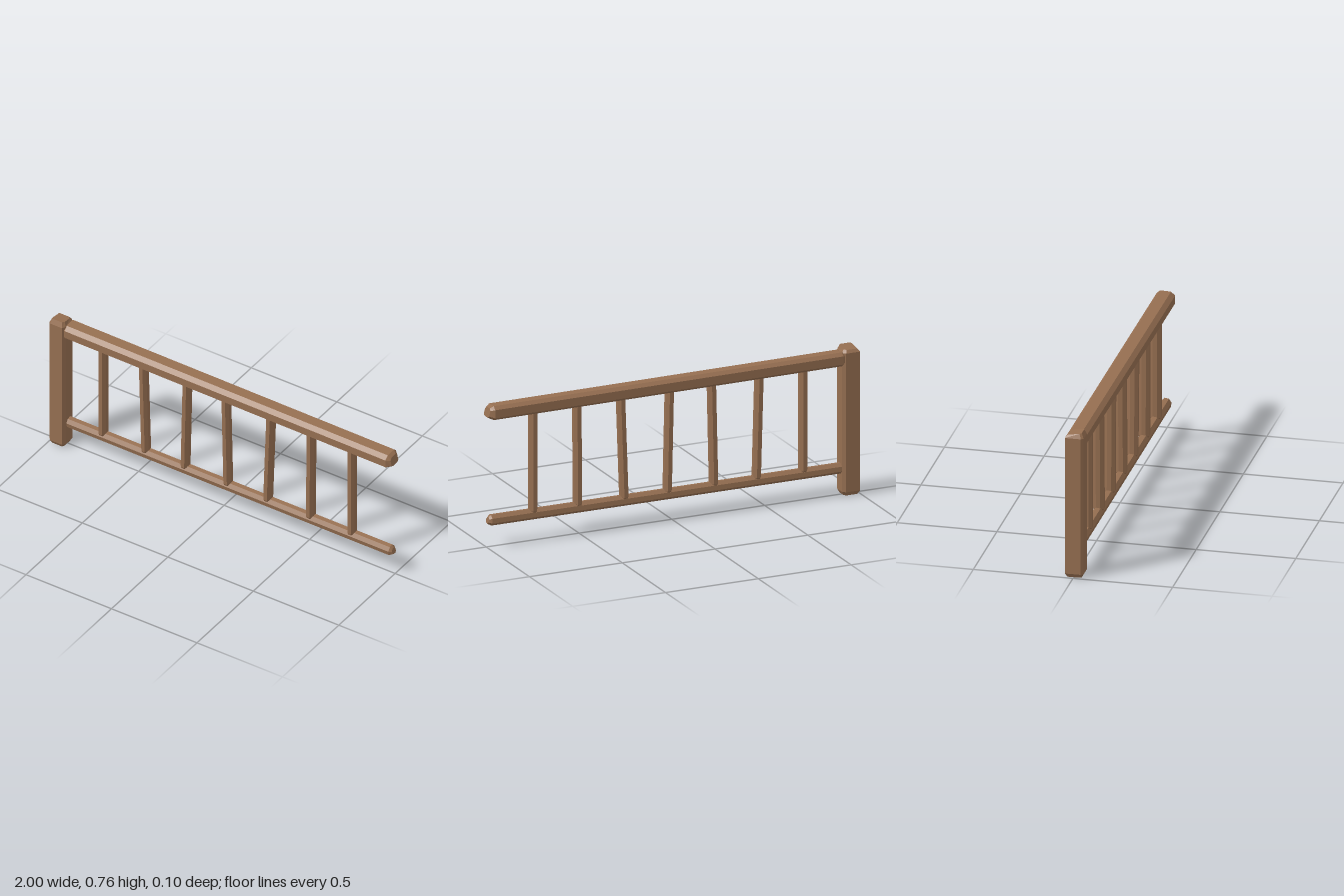
import * as THREE from 'three';

const wood = new THREE.MeshStandardMaterial({ color: 0x966f51, flatShading: true });

// Hewn beam: a section [u, v] swept from start to end, with bevelled, slightly skewed ends.
// Horizontal beams use u = y, v = z; vertical beams use u = z, v = x.
function beam(name, section, start, end, { vertical = false, bevel = 0.02, inset = 0.75, skew = 0 } = {}) {
  const a = new THREE.Vector3(...start), b = new THREE.Vector3(...end);
  const dir = b.clone().sub(a).normalize();
  const u = vertical ? new THREE.Vector3(0, 0, 1) : new THREE.Vector3(0, 1, 0);
  const v = vertical ? new THREE.Vector3(1, 0, 0) : new THREE.Vector3(0, 0, 1);
  const rings = [
    [a, inset, 0], [a.clone().addScaledVector(dir, bevel), 1, 0],
    [b.clone().addScaledVector(dir, -bevel), 1, 0], [b, inset, skew],
  ];
  const n = section.length, pos = [], idx = [];
  for (const [c, s, k] of rings) {
    for (const [p, q] of section) {
      const w = c.clone().addScaledVector(u, p * s).addScaledVector(v, q * s).addScaledVector(dir, p * k);
      pos.push(w.x, w.y, w.z);
    }
  }
  for (let r = 0; r < 3; r++) {
    for (let i = 0; i < n; i++) {
      const j = (i + 1) % n, p = r * n, q = p + n;
      idx.push(p + i, p + j, q + j, p + i, q + j, q + i);
    }
  }
  for (let i = 1; i < n - 1; i++) {
    idx.push(0, i + 1, i, 3 * n, 3 * n + i, 3 * n + i + 1);
  }
  const indexed = new THREE.BufferGeometry();
  indexed.setAttribute('position', new THREE.Float32BufferAttribute(pos, 3));
  indexed.setIndex(idx);
  const geo = indexed.toNonIndexed();
  geo.computeVertexNormals();
  const mesh = new THREE.Mesh(geo, wood);
  mesh.name = name;
  return mesh;
}

export function createModel() {
  const group = new THREE.Group();
  group.name = 'fenceRailing';

  // End post with chamfered corners
  const postSection = [[0.046, -0.035], [0.046, 0.035], [0.028, 0.045], [-0.031, 0.045],
    [-0.046, 0.03], [-0.046, -0.045], [0.034, -0.045]];
  group.add(beam('post', postSection, [-0.95, 0.005, 0.004], [-0.95, 0.76, 0.004],
    { vertical: true, bevel: 0.02, inset: 0.76, skew: 0.12 }));

  // Thick handrail, sloping slightly down to its free end
  const handrailSection = [[0.036, -0.03], [0.034, 0.025], [0.015, 0.046], [-0.026, 0.046],
    [-0.036, 0.03], [-0.036, -0.03], [-0.022, -0.047], [0.02, -0.047]];
  group.add(beam('handrail', handrailSection, [-0.925, 0.71, 0], [0.995, 0.7, 0],
    { bevel: 0.022, inset: 0.65, skew: -0.15 }));

  // Thin lower rail
  const lowerSection = [[0.027, -0.008], [0.024, 0.014], [0.004, 0.027], [-0.02, 0.022],
    [-0.027, -0.01], [-0.012, -0.027], [0.012, -0.024]];
  group.add(beam('lowerRail', lowerSection, [-0.93, 0.142, 0], [0.993, 0.142, 0],
    { bevel: 0.015, inset: 0.6, skew: -0.15 }));

  // Balusters: [bottom x, top x], each a little out of true
  const balusterSection = [[0.028, -0.009], [0.028, 0.01], [0.01, 0.021], [-0.012, 0.021],
    [-0.028, 0.009], [-0.028, -0.01], [-0.01, -0.021], [0.012, -0.021]];
  const feet = [[-0.705, -0.705], [-0.455, -0.47], [-0.225, -0.213], [0.025, 0.013],
    [0.258, 0.277], [0.508, 0.512], [0.75, 0.75]];
  const balusters = new THREE.Group();
  balusters.name = 'balusters';
  feet.forEach(([x0, x1], i) => {
    balusters.add(beam(`baluster${i + 1}`, balusterSection, [x0, 0.153, 0.001], [x1, 0.69, 0.001],
      { vertical: true, bevel: 0.008, inset: 0.85 }));
  });
  group.add(balusters);
  return group;
}
